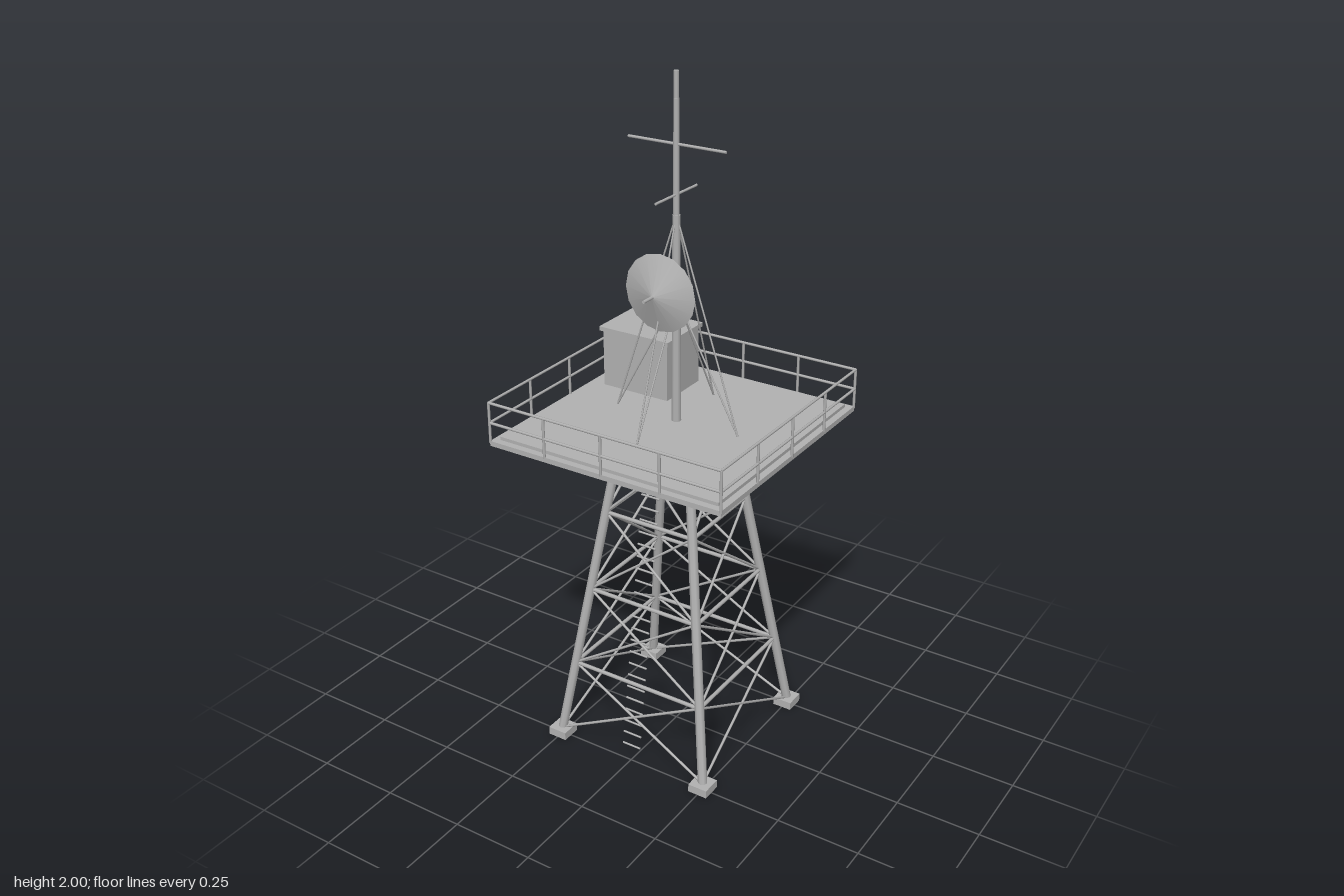
import * as THREE from 'three';

const grey = new THREE.MeshStandardMaterial({ color: 0xb2b2b2 });
grey.name = 'galvanised grey';

const V = (x, y, z) => new THREE.Vector3(x, y, z);
const UP = V(0, 1, 0);

export function createModel() {
  const root = new THREE.Group();
  root.name = 'radioTower';

  const group = (name) => {
    const g = new THREE.Group();
    g.name = name;
    root.add(g);
    return g;
  };
  const add = (parent, name, geometry) => {
    const m = new THREE.Mesh(geometry, grey);
    m.name = name;
    parent.add(m);
    return m;
  };
  const box = (parent, name, w, h, d, x, y, z) => {
    const m = add(parent, name, new THREE.BoxGeometry(w, h, d));
    m.position.set(x, y, z);
    return m;
  };
  // Round bar between two points, optionally tapered
  const bar = (parent, name, a, b, r, sides = 6, rEnd = r) => {
    const dir = b.clone().sub(a);
    const m = add(parent, name, new THREE.CylinderGeometry(rEnd, r, dir.length(), sides));
    m.position.copy(a).add(b).multiplyScalar(0.5);
    m.quaternion.setFromUnitVectors(UP, dir.normalize());
    return m;
  };

  // Half width of the tapering tower at height y
  const half = (y) => 0.25 - 0.14 * (y - 0.02) / 0.98;
  // Corner i (0..3) of the tower at height y
  const signs = [[1, 1], [-1, 1], [-1, -1], [1, -1]];
  const corner = (i, y, h = half(y)) => V(signs[i % 4][0] * h, y, signs[i % 4][1] * h);

  // Legs and footings
  const tower = group('tower');
  for (let i = 0; i < 4; i++) {
    const foot = corner(i, 0.0125, 0.25);
    box(tower, 'footing', 0.06, 0.025, 0.06, foot.x, foot.y, foot.z);
    bar(tower, 'leg', corner(i, 0.02), corner(i, 1), 0.014, 8);
  }

  // Horizontal and crossed braces on all four faces
  const levels = [0.02, 0.25, 0.5, 0.75, 1];
  for (let i = 0; i < 4; i++) {
    for (let k = 0; k < 4; k++) {
      const lo = levels[k], hi = levels[k + 1];
      if (k > 0) bar(tower, 'horizontalBrace', corner(i, lo), corner(i + 1, lo), 0.006);
      bar(tower, 'diagonalBrace', corner(i, lo), corner(i + 1, hi), 0.004);
      bar(tower, 'diagonalBrace', corner(i + 1, lo), corner(i, hi), 0.004);
    }
  }

  // Ladder rungs up the front face
  const ladder = group('ladder');
  for (let i = 0; i < 26; i++) {
    const y = 0.05 + i * 0.0374;
    bar(ladder, 'rung', V(-0.03, y, half(y)), V(0.03, y, half(y)), 0.003);
  }

  // Platform with raised deck
  const platform = group('platform');
  box(platform, 'platformBase', 0.74, 0.015, 0.74, 0, 1.0025, 0);
  box(platform, 'deckPlate', 0.7, 0.01, 0.7, 0, 1.015, 0);

  // Railing
  const railing = group('railing');
  for (let i = 0; i < 4; i++) {
    for (const y of [1.065, 1.125]) {
      bar(railing, 'rail', corner(i, y, 0.369), corner(i + 1, y, 0.369), 0.004);
    }
    for (let k = 0; k < 4; k++) {
      const p = corner(i, 1.005, 0.369).lerp(corner(i + 1, 1.005, 0.369), k / 4);
      bar(railing, 'railPost', p, V(p.x, 1.125, p.z), 0.004);
    }
  }

  // Equipment hut
  const hut = group('equipmentHut');
  box(hut, 'hutBody', 0.22, 0.175, 0.17, -0.2, 1.1075, -0.176);
  box(hut, 'hutRoof', 0.236, 0.013, 0.187, -0.2, 1.199, -0.176);

  // Mast and antenna arms
  const mast = group('mast');
  bar(mast, 'lowerMast', V(0, 1.01, 0), V(0, 1.62, 0), 0.014, 8, 0.011);
  bar(mast, 'upperMast', V(0, 1.62, 0), V(0, 1.93, 0), 0.009, 8, 0.008);
  bar(mast, 'antennaTip', V(0, 1.93, 0), V(0, 2, 0), 0.007, 8);
  bar(mast, 'longCrossArm', V(-0.15, 1.81, 0), V(0.15, 1.81, 0), 0.004);
  bar(mast, 'shortCrossArm', V(0, 1.675, -0.1), V(0, 1.675, 0.1), 0.004);

  // Guy wires, two to each side
  for (const [x, z] of [[0.2, 0], [-0.2, 0], [0, 0.2], [0, -0.2]]) {
    for (const y of [1.39, 1.62]) bar(mast, 'guyWire', V(x, 1.02, z), V(0, y, 0), 0.0025);
  }

  // Dish on its arm
  const dish = group('dish');
  const cone = add(dish, 'dishReflector', new THREE.ConeGeometry(0.11, 0.04, 16));
  cone.rotation.x = Math.PI / 2;
  cone.position.set(0, 1.425, 0.1);
  bar(dish, 'dishArm', V(0, 1.425, 0), V(0, 1.425, 0.1), 0.006);
  bar(dish, 'dishFeed', V(0, 1.425, 0.1), V(0, 1.425, 0.16), 0.005);

  return root;
}
